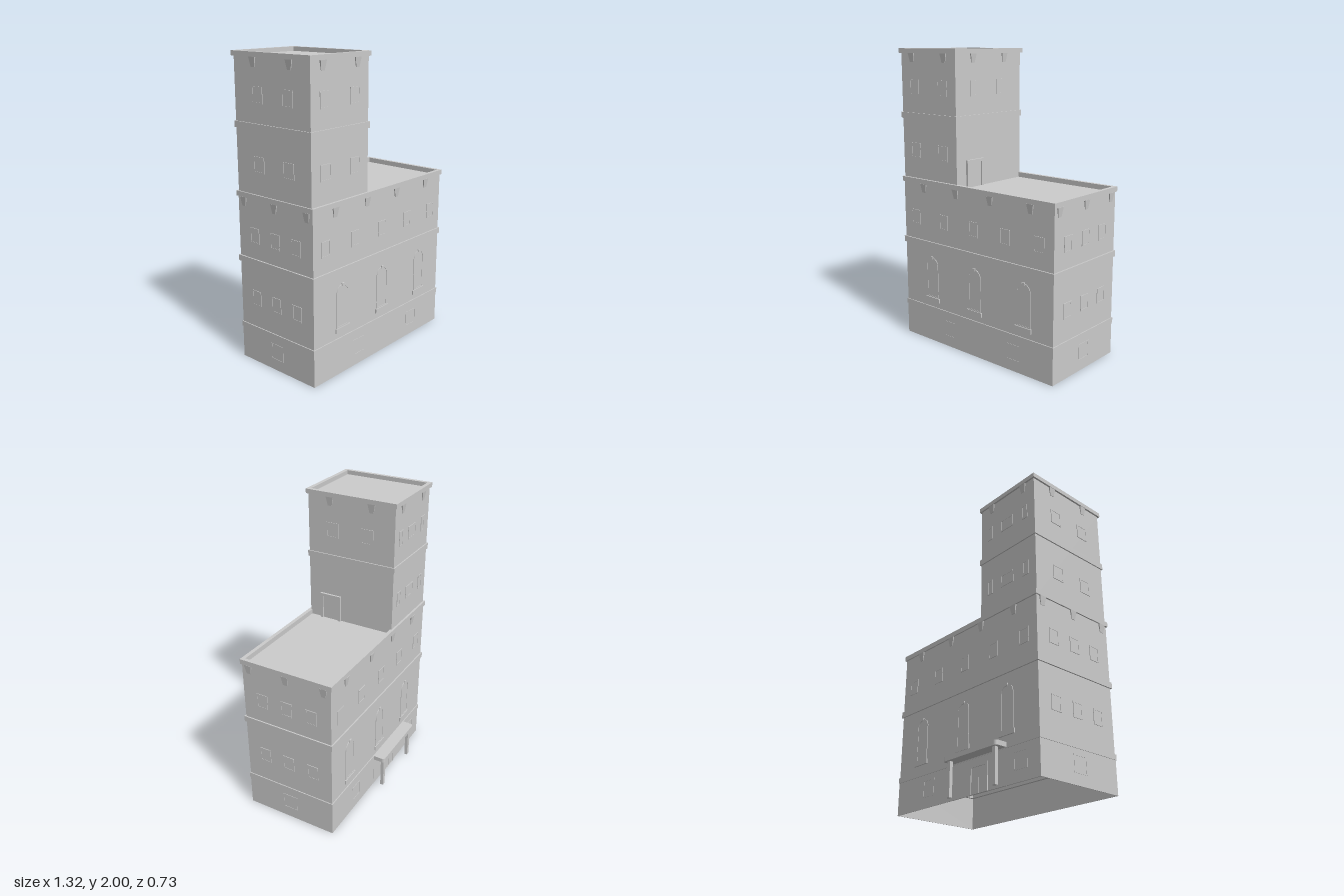
import * as THREE from 'three';

const mat = new THREE.MeshStandardMaterial({ color: 0xcccccc, flatShading: true });

export function createModel() {
  const root = new THREE.Group();
  const MAIN = { x0: -0.65, x1: 0.65, z0: -0.28, z1: 0.357 };
  const TOWER = { x0: -0.65, x1: -0.147, z0: -0.275, z1: 0.35 };

  function add(name, geometry, parent = root) {
    const mesh = new THREE.Mesh(geometry, mat);
    mesh.name = name;
    parent.add(mesh);
    return mesh;
  }

  // solid block over a footprint
  function block(name, f, y0, y1, grow = 0) {
    const g = new THREE.BoxGeometry(f.x1 - f.x0 + 2 * grow, y1 - y0, f.z1 - f.z0 + 2 * grow);
    add(name, g).position.set((f.x0 + f.x1) / 2, (y0 + y1) / 2, (f.z0 + f.z1) / 2);
  }

  function rect(path, x0, y0, x1, y1) {
    path.moveTo(x0, y0).lineTo(x1, y0).lineTo(x1, y1).lineTo(x0, y1).closePath();
    return path;
  }

  const extrude = (shape, depth) =>
    new THREE.ExtrudeGeometry(shape, { depth, bevelEnabled: false, curveSegments: 10 });

  // hollow rectangular ring around a footprint
  function ring(name, f, y0, y1, grow, inset) {
    const s = rect(new THREE.Shape(), f.x0 - grow, -f.z1 - grow, f.x1 + grow, -f.z0 + grow);
    s.holes.push(rect(new THREE.Path(), f.x0 + inset, -f.z1 + inset, f.x1 - inset, -f.z0 - inset));
    const g = extrude(s, y1 - y0).rotateX(-Math.PI / 2);
    add(name, g).position.y = y0;
  }

  // group standing on a wall, with local +z pointing outward
  function onWall(name, f, side, u, y) {
    const g = new THREE.Group();
    g.name = name;
    if (side === 'front') g.position.set(u, y, f.z1);
    if (side === 'back') g.position.set(u, y, f.z0);
    if (side === 'left') g.position.set(f.x1, y, u);
    if (side === 'right') g.position.set(f.x0, y, u);
    g.rotation.y = { front: 0, back: Math.PI, left: Math.PI / 2, right: -Math.PI / 2 }[side];
    root.add(g);
    return g;
  }

  // flat window: pane with a slightly raised frame
  function windowAt(f, side, u, y, w = 0.09, h = 0.1) {
    const g = onWall('window', f, side, u, y);
    add('pane', new THREE.BoxGeometry(w, h, 0.004), g);
    const s = rect(new THREE.Shape(), -w / 2, -h / 2, w / 2, h / 2);
    const t = 0.008;
    s.holes.push(rect(new THREE.Path(), -w / 2 + t, -h / 2 + t, w / 2 - t, h / 2 - t));
    add('windowFrame', extrude(s, 0.004), g);
  }

  function archPath(path, r, y0, spring) {
    return path.moveTo(-r, y0).lineTo(r, y0).lineTo(r, spring)
      .absarc(0, spring, r, 0, Math.PI, false).closePath();
  }

  // arched window with sill and keystone
  function archWindow(side, u) {
    const g = onWall('archedWindow', MAIN, side, u, 0.29);
    add('pane', extrude(archPath(new THREE.Shape(), 0.05, 0.03, 0.26), 0.002), g);
    const s = archPath(new THREE.Shape(), 0.055, 0.03, 0.26);
    s.holes.push(archPath(new THREE.Path(), 0.045, 0.038, 0.26));
    add('archFrame', extrude(s, 0.004), g);
    add('sill', new THREE.BoxGeometry(0.13, 0.03, 0.018), g).position.set(0, 0.015, 0);
    add('keystone', new THREE.BoxGeometry(0.022, 0.018, 0.016), g).position.set(0, 0.312, 0);
  }

  // tapered bracket under a cornice
  function bracket(f, side, u, top) {
    const g = onWall('bracket', f, side, u, top);
    const geo = new THREE.BoxGeometry(0.052, 0.06, 0.01).translate(0, -0.03, 0.005);
    const p = geo.attributes.position;
    for (let i = 0; i < p.count; i++) {
      if (p.getY(i) < -0.03) p.setXYZ(i, p.getX(i) * 0.55, p.getY(i), p.getZ(i) * 0.3);
    }
    geo.computeVertexNormals();
    add('bracketBlock', geo, g);
  }

  // hollow base, main block and tower
  ring('baseWalls', MAIN, 0, 0.23, 0.002, 0.002);
  block('mainBlock', MAIN, 0.235, 1.107);
  block('towerBlock', TOWER, 1.1, 1.972);

  // string courses and parapets
  ring('baseBand', MAIN, 0.215, 0.25, 0.006, 0.02);
  block('middleBand', MAIN, 0.675, 0.715, 0.009);
  ring('mainParapet', MAIN, 1.107, 1.14, 0.009, 0.016);
  block('towerBand', TOWER, 1.54, 1.58, 0.008);
  ring('towerParapet', TOWER, 1.97, 2, 0.012, 0.014);

  // brackets
  for (const side of ['front', 'back']) {
    for (const x of [-0.455, -0.155, 0.145, 0.47]) bracket(MAIN, side, x, 1.108);
    for (const x of [-0.55, -0.25]) bracket(TOWER, side, x, 1.971);
  }
  for (const side of ['left', 'right']) {
    for (const z of [0.31, 0.04, -0.23]) bracket(MAIN, side, z, 1.108);
    for (const z of [0.19, -0.11]) bracket(TOWER, side, z, 1.971);
  }

  // front and back windows of the main block
  for (const side of ['front', 'back']) {
    for (const x of [-0.39, 0.005, 0.42]) archWindow(side, x);
    for (const x of [-0.54, -0.27, 0, 0.27, 0.54]) windowAt(MAIN, side, x, 0.87, 0.08);
  }
  for (const x of [-0.23, 0.34]) windowAt(MAIN, 'front', x, 0.125, 0.11, 0.11);
  for (const x of [-0.5, 0.33]) windowAt(MAIN, 'back', x, 0.125, 0.11, 0.11);

  // side windows of the main block
  for (const side of ['left', 'right']) {
    for (const y of [0.45, 0.87]) {
      for (const z of [0.22, 0.04, -0.14]) windowAt(MAIN, side, z, y, 0.08);
    }
    windowAt(MAIN, side, 0.04, 0.125, 0.11, 0.11);
  }

  // tower windows
  for (const y of [1.33, 1.75]) {
    for (const x of [-0.53, -0.27]) windowAt(TOWER, 'front', x, y);
    for (const z of [-0.08, 0.17]) windowAt(TOWER, 'right', z, y);
    windowAt(TOWER, 'back', -0.395, y, 0.11, 0.085);
    for (const x of [-0.56, -0.235]) windowAt(TOWER, 'back', x, y, 0.05);
  }
  for (const z of [-0.08, 0.17]) windowAt(TOWER, 'left', z, 1.75);

  // roof door on the tower
  const roofDoor = onWall('roofDoor', TOWER, 'left', 0.187, 1.105);
  const frame = rect(new THREE.Shape(), -0.077, 0, 0.077, 0.185);
  frame.holes.push(rect(new THREE.Path(), -0.058, 0.001, 0.058, 0.165));
  add('roofDoorFrame', extrude(frame, 0.015), roofDoor);
  add('roofDoorLeaf', new THREE.BoxGeometry(0.12, 0.17, 0.01), roofDoor).position.y = 0.085;

  // entrance with portal panel, door, canopy and posts
  const entrance = onWall('entrance', MAIN, 'back', -0.152, 0);
  add('portalPanel', new THREE.BoxGeometry(0.47, 0.22, 0.008), entrance).position.y = 0.11;
  const jamb = rect(new THREE.Shape(), -0.08, 0, 0.08, 0.175);
  jamb.holes.push(rect(new THREE.Path(), -0.066, 0.001, 0.066, 0.16));
  add('doorFrame', extrude(jamb, 0.009), entrance);
  for (const s of [-1, 1]) {
    add('doorLeaf', new THREE.BoxGeometry(0.062, 0.158, 0.012), entrance)
      .position.set(s * 0.033, 0.08, 0);
    add('post', new THREE.BoxGeometry(0.026, 0.222, 0.022), entrance)
      .position.set(s * 0.2, 0.111, 0.06);
  }
  const w = 0.2375, d = 0.086, r = 0.02;
  const canopy = new THREE.Shape().moveTo(-w, 0).lineTo(w, 0).lineTo(w, d - r)
    .absarc(w - r, d - r, r, 0, Math.PI / 2, false)
    .absarc(-w + r, d - r, r, Math.PI / 2, Math.PI, false).closePath();
  add('canopy', extrude(canopy, 0.03).rotateX(Math.PI / 2), entrance).position.y = 0.25;

  return root;
}
